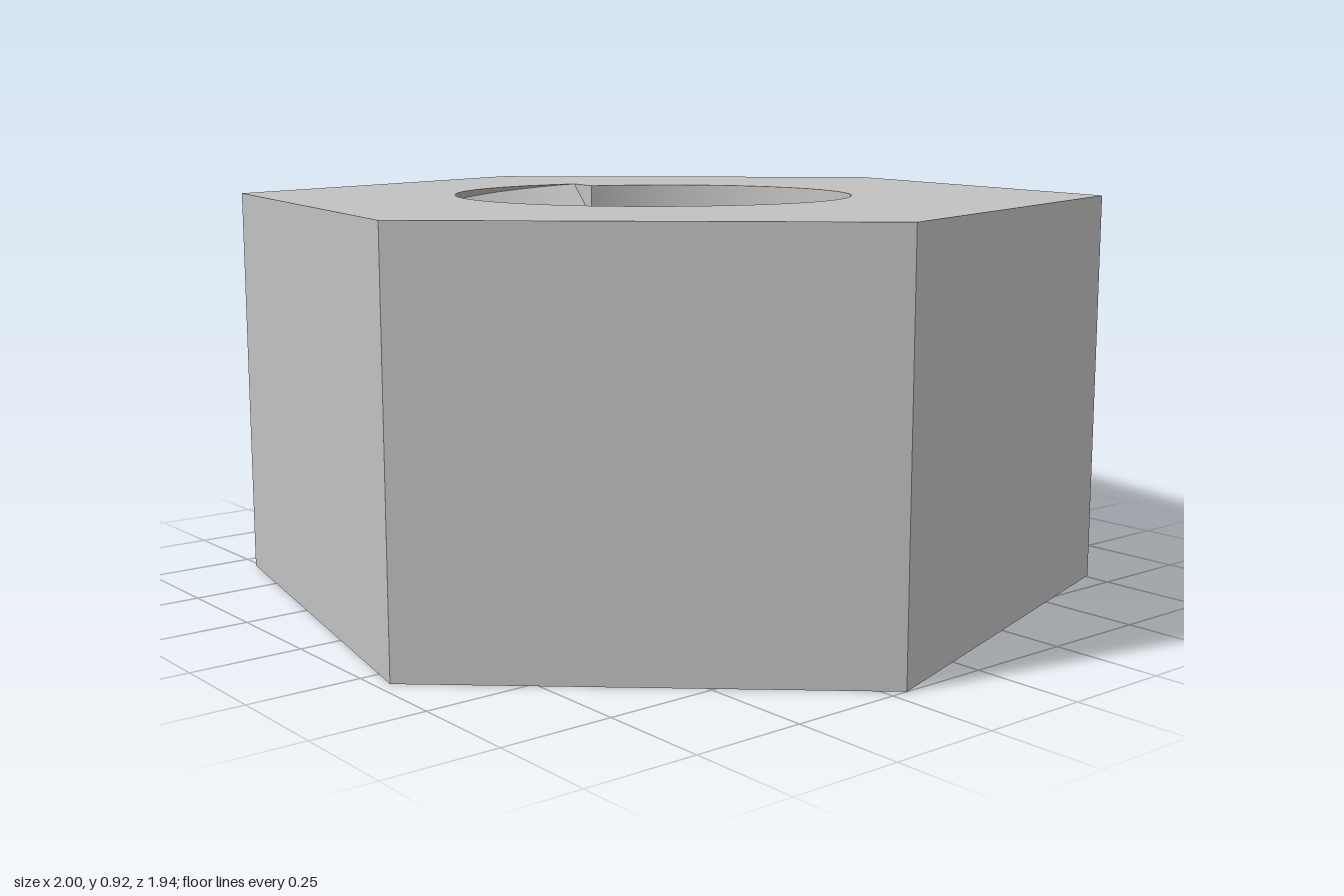
import * as THREE from 'three';
import { toCreasedNormals } from 'three/addons/utils/BufferGeometryUtils.js';

const H = 0.92;                 // nut height
const HEX_R = 1.022, HEX_TURN = 11.9;
const BORE = 0.435, DEPTH = 0.11, HALF = 0.083; // bore radius, groove depth, half groove width
const START = 125, SWEEP = 1867.5, STEP = 2.5;  // helical groove, in degrees
const PITCH = (H / SWEEP) * 360;

const rad = THREE.MathUtils.degToRad;
const polar = (deg, r, y) => [r * Math.cos(rad(deg)), y, r * Math.sin(rad(deg))];

function geometryOf(triangles) {
  const g = new THREE.BufferGeometry();
  g.setAttribute('position', new THREE.Float32BufferAttribute(triangles.flat(2), 3));
  g.computeVertexNormals();
  return g;
}

// Six flat outer sides
function hexSides() {
  const tris = [];
  for (let i = 0; i < 6; i++) {
    const a = HEX_TURN + i * 60, b = a + 60;
    const p = polar(a, HEX_R, 0), q = polar(a, HEX_R, H), r = polar(b, HEX_R, H), s = polar(b, HEX_R, 0);
    tris.push([p, q, r], [p, r, s]);
  }
  return geometryOf(tris);
}

// Hexagonal end face whose hole follows the groove where it runs out
function endFace(top) {
  const sign = top ? -1 : 1;
  const flat = (deg, r) => new THREE.Vector2(r * Math.cos(rad(deg)), sign * r * Math.sin(rad(deg)));
  const shape = new THREE.Shape();
  shape.setFromPoints([0, 1, 2, 3, 4, 5].map((i) => flat(HEX_TURN + i * 60, HEX_R)));
  const hole = [];
  for (let d = 0; d <= 360; d += STEP) {
    const r = BORE + DEPTH * Math.max(0, 1 - (PITCH * d) / 360 / HALF);
    hole.push(flat(top ? START + SWEEP - d : START + d, r));
  }
  shape.holes.push(new THREE.Path().setFromPoints(hole));
  const g = new THREE.ShapeGeometry(shape);
  g.rotateX(sign * Math.PI / 2);
  if (top) g.translate(0, H, 0);
  return g;
}

// Bore wall: a V profile swept along the helix and trimmed at both end faces
function threadWall() {
  const tris = [];
  for (let t = -360; t < SWEEP + 360; t += STEP) {
    const depth = t >= 0 && t < SWEEP ? DEPTH : 0;
    const profile = [[-HALF, 0], [0, depth], [HALF, 0], [PITCH - HALF, 0]];
    for (let k = 0; k < 3; k++) {
      const edge = (turn) => {
        const apex = (PITCH * turn) / 360;
        const [y0, r0] = profile[k], [y1, r1] = profile[k + 1];
        return [y0, y1].map((y) => {
          const yc = THREE.MathUtils.clamp(y + apex, 0, H);
          const f = THREE.MathUtils.clamp((yc - apex - y0) / (y1 - y0), 0, 1);
          return { y: yc, p: polar(START + turn, BORE + r0 + (r1 - r0) * f, yc) };
        });
      };
      const [aLo, aHi] = edge(t), [bLo, bHi] = edge(t + STEP);
      if (bHi.y - bLo.y > 1e-6) tris.push([aLo.p, bLo.p, bHi.p]);
      if (aHi.y - aLo.y > 1e-6) tris.push([aLo.p, bHi.p, aHi.p]);
    }
  }
  return toCreasedNormals(geometryOf(tris), 0.4);
}

// Triangular wall where the groove stops at an end face
function grooveStop(deg, y, dir) {
  return geometryOf([[polar(deg, BORE, y), polar(deg, BORE + DEPTH, y), polar(deg, BORE, y + dir * HALF)]]);
}

export function createModel() {
  const steel = new THREE.MeshStandardMaterial({ color: 0xc0c0c0 });
  steel.name = 'steel';
  const nut = new THREE.Group();
  nut.name = 'hexNut';
  const add = (name, geometry) => {
    const mesh = new THREE.Mesh(geometry, steel);
    mesh.name = name;
    nut.add(mesh);
  };
  add('hexSides', hexSides());
  add('topFace', endFace(true));
  add('bottomFace', endFace(false));
  add('threadedBore', threadWall());
  add('lowerGrooveStop', grooveStop(START, 0, 1));
  add('upperGrooveStop', grooveStop(START + SWEEP, H, -1));
  return nut;
}
